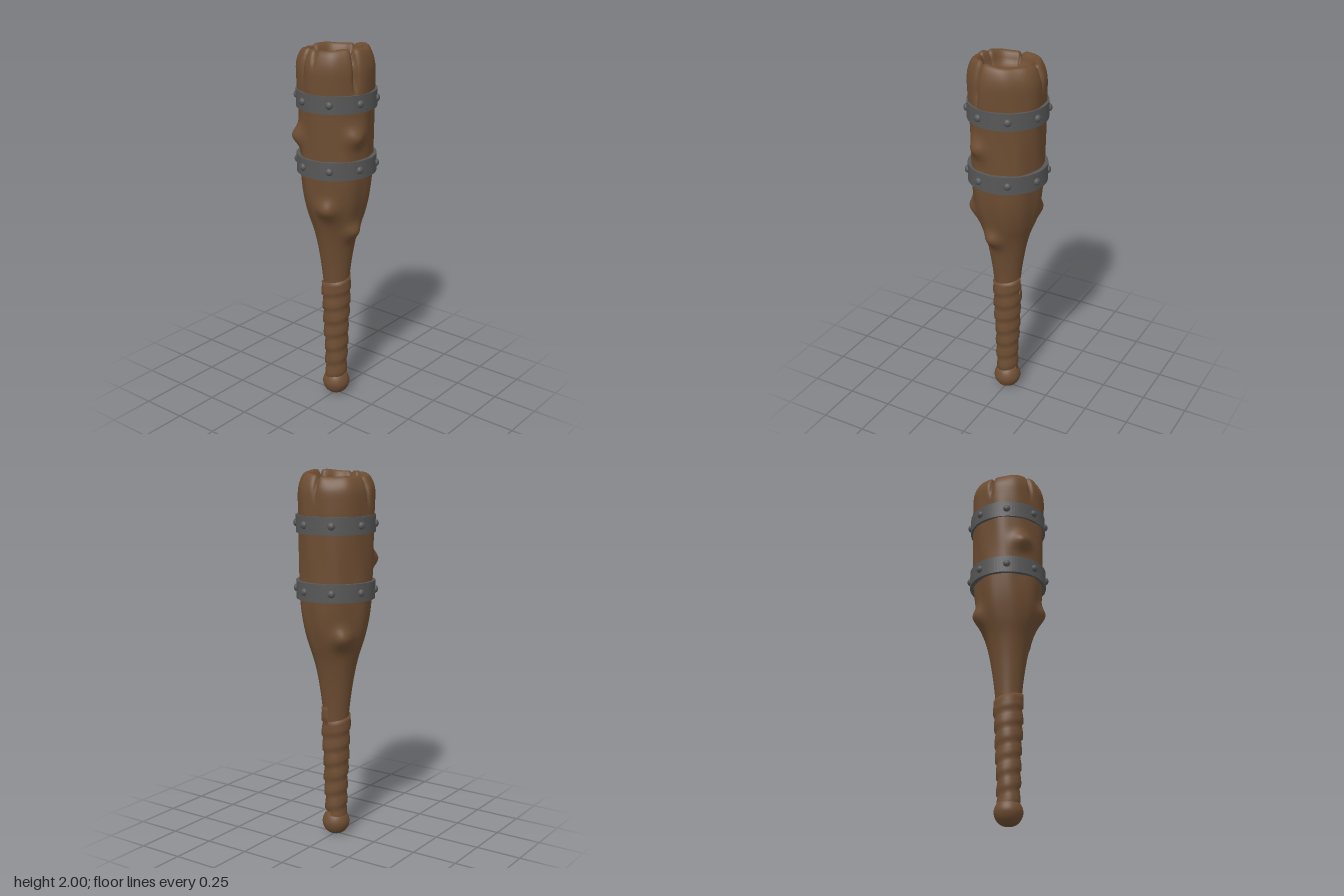
import * as THREE from 'three';
import { mergeVertices } from 'three/addons/utils/BufferGeometryUtils.js';

const wood = new THREE.MeshStandardMaterial({ color: 0x6d4d32 });
wood.name = 'brown wood';
const iron = new THREE.MeshStandardMaterial({ color: 0x575757 });
iron.name = 'dark iron';

const smooth = THREE.MathUtils.smoothstep;

// Smoothly resampled [radius, height] profile
function profile(points, samples) {
  const curve = new THREE.CatmullRomCurve3(points.map(([r, y]) => new THREE.Vector3(r, y, 0)), false, 'centripetal');
  return curve.getSpacedPoints(samples).map((p) => new THREE.Vector2(Math.max(p.x, 0), p.y));
}

// Lathe whose vertices are moved by a rule, then welded and smoothed
function shapedLathe(points, segments, rule) {
  const geometry = new THREE.LatheGeometry(points, segments);
  const pos = geometry.attributes.position;
  const v = new THREE.Vector3();
  for (let i = 0; i < pos.count; i++) {
    v.fromBufferAttribute(pos, i);
    rule(v, i);
    pos.setXYZ(i, v.x, v.y, v.z);
  }
  geometry.deleteAttribute('normal');
  geometry.deleteAttribute('uv');
  const welded = mergeVertices(geometry, 1e-5);
  welded.computeVertexNormals();
  return welded;
}

// Knots: x, y, z, height, spread
const KNOTS = [
  [0.19, 1.55, 0.075, 0.036, 0.05],
  [-0.125, 1.53, 0.155, 0.045, 0.05],
  [0.13, 1.01, 0.02, 0.04, 0.05],
  [0.06, 1.15, 0.165, 0.04, 0.055],
  [-0.12, 1.13, -0.115, 0.04, 0.055],
];

// Splits in the head: angle from +x towards +z, lowest y, depth, width
const CRACKS = [
  [-90, 1.82, 0.022, 0.07],
  [180, 1.8, 0.03, 0.06],
  [23, 1.74, 0.04, 0.075],
  [111, 1.79, 0.025, 0.055],
  [88, 1.88, 0.018, 0.06],
];

function shapeBody(v) {
  const r = Math.hypot(v.x, v.z);
  if (r < 1e-4) return;
  const angle = Math.atan2(v.z, v.x);
  const { x, y, z } = v;
  let newR = r;
  let newY = y;
  // gentle carved unevenness
  const rough = smooth(y, 0.8, 1.2) * smooth(r, 0.08, 0.17);
  newR += rough * (0.003 * Math.sin(angle * 5 + y * 4) + 0.002 * Math.sin(angle * 9 - y * 7));
  for (const [kx, ky, kz, height, spread] of KNOTS) {
    const d2 = (x - kx) ** 2 + (y - ky) ** 2 + (z - kz) ** 2;
    newR += height * Math.exp(-d2 / (spread * spread));
  }
  const top = smooth(y, 1.88, 1.97) * smooth(r, 0.07, 0.14);
  for (const [deg, low, depth, width] of CRACKS) {
    const a = angle - THREE.MathUtils.degToRad(deg);
    const gap = Math.abs(Math.atan2(Math.sin(a), Math.cos(a)));
    const cut = Math.exp(-gap / width * 1.6) * depth;
    newR -= cut * smooth(y, low, low + 0.12) * smooth(r, 0.14, 0.19);
    newY -= cut * 1.3 * top;
  }
  newY += top * (0.012 * Math.cos(angle - 0.5) + 0.004 * Math.sin(angle * 4));
  v.set(x * newR / r, newY, z * newR / r);
}

// Helical cloth wrap: stepped turns sheared into a spiral
function wrapGeometry() {
  const pitch = 0.085;
  const turns = 7;
  const segments = 48;
  const steps = [[0, 0], [0.12, 0.008], [0.4, 0.008], [0.75, 0.004]];
  const points = [];
  for (let k = 0; k < turns; k++) {
    for (const [t, out] of steps) points.push(new THREE.Vector2(1 + out, 0.06 + (k + t) * pitch));
  }
  points.push(new THREE.Vector2(1.004, 0.06 + turns * pitch), new THREE.Vector2(0.98, 0.062 + turns * pitch));
  return shapedLathe(points, segments, (v, i) => {
    const phi = Math.floor(i / points.length) / segments;
    const out = Math.hypot(v.x, v.z) - 1;
    const y = v.y + phi * pitch;
    const a = phi * Math.PI * 2 + Math.PI;
    const r = 0.053 + 0.024 * smooth(y, 0.05, 0.85) + out + 0.0015 * Math.sin(a * 3 + y * 25);
    v.set(Math.sin(a) * r, y, Math.cos(a) * r);
  });
}

function add(parent, name, geometry, material) {
  const mesh = new THREE.Mesh(geometry, material);
  mesh.name = name;
  parent.add(mesh);
  return mesh;
}

// Iron hoop with eight domed rivets
function makeBand(name, y, height) {
  const band = new THREE.Group();
  band.name = name;
  band.position.set(0, y, -0.003);
  const h = height / 2;
  const hoop = new THREE.Shape().absarc(0, 0, 0.209, 0, Math.PI * 2);
  hoop.holes.push(new THREE.Path().absarc(0, 0, 0.185, 0, Math.PI * 2, true));
  const ring = new THREE.ExtrudeGeometry(hoop, { depth: height, bevelEnabled: false, curveSegments: 40 });
  ring.rotateX(-Math.PI / 2).translate(0, -h, 0);
  add(band, 'hoop', ring, iron);
  const dome = new THREE.SphereGeometry(0.02, 14, 8);
  for (let i = 0; i < 8; i++) {
    const a = THREE.MathUtils.degToRad(17 + i * 45);
    const rivet = add(band, 'rivet', dome, iron);
    rivet.position.set(Math.cos(a) * 0.209, 0, Math.sin(a) * 0.209);
    rivet.rotation.y = -a;
    rivet.scale.x = 0.8;
  }
  return band;
}

export function createModel() {
  const model = new THREE.Group();
  model.name = 'club';

  // Shaft, flared head, rim and hollow top
  const body = profile([
    [0.045, 0.08], [0.05, 0.3], [0.057, 0.5], [0.074, 0.73], [0.098, 0.9], [0.12, 1.0],
    [0.152, 1.1], [0.175, 1.2], [0.188, 1.32], [0.192, 1.5], [0.197, 1.7], [0.201, 1.82],
    [0.2, 1.9], [0.188, 1.945], [0.168, 1.978], [0.15, 1.982], [0.136, 1.965],
    [0.122, 1.925], [0.1, 1.9], [0.05, 1.888], [0, 1.885],
  ], 150);
  add(model, 'body', shapedLathe(body, 144, shapeBody), wood);

  add(model, 'handleWrap', wrapGeometry(), wood);

  // Rounded pommel
  const pommel = profile([
    [0, 0.008], [0.035, 0.013], [0.062, 0.033], [0.075, 0.065], [0.069, 0.098], [0.054, 0.122], [0.04, 0.13],
  ], 24);
  add(model, 'pommel', shapedLathe(pommel, 32, (v) => {
    v.y -= 0.008 * (1 - smooth(v.y, 0, 0.06));
  }), wood);

  model.add(makeBand('upperBand', 1.725, 0.092));
  model.add(makeBand('lowerBand', 1.38, 0.096));
  return model;
}
